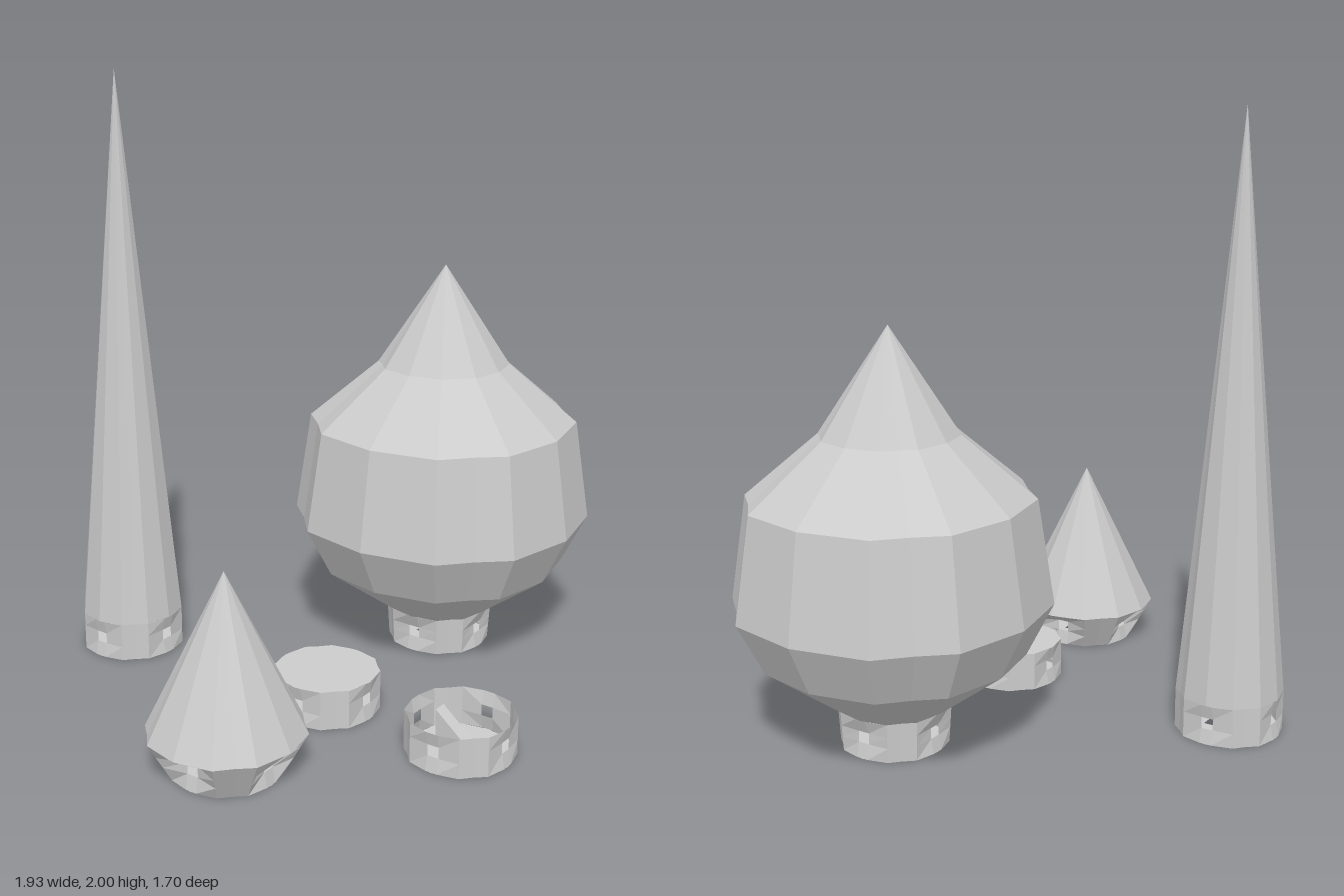
import * as THREE from 'three';

const BASE_R = 0.17, BASE_H = 0.13;
const material = new THREE.MeshStandardMaterial({ color: 0xcccccc, flatShading: true, side: THREE.DoubleSide });

// Facet corners of one quarter turn: [degrees, radius factor]
const QUARTER = [[0, 1], [30, 1.03], [45, 0.98], [60, 1.03]];

function ringPoints(r, y) {
  const pts = [];
  for (let q = 0; q < 4; q++) {
    for (const [deg, f] of QUARTER) {
      const a = THREE.MathUtils.degToRad(deg + q * 90);
      pts.push(new THREE.Vector3(Math.sin(a) * r * f, y, Math.cos(a) * r * f));
    }
  }
  return pts;
}

// Joins stacked rings of equal length with quads; skip(level, column) leaves holes
function loft(rings, skip = () => false) {
  const pos = [];
  const tri = (...p) => p.forEach(v => pos.push(v.x, v.y, v.z));
  for (let i = 0; i < rings.length - 1; i++) {
    const lo = rings[i], hi = rings[i + 1], n = lo.length;
    for (let j = 0; j < n; j++) {
      if (skip(i, j)) continue;
      const k = (j + 1) % n;
      tri(lo[j], lo[k], hi[k]);
      tri(lo[j], hi[k], hi[j]);
    }
  }
  const g = new THREE.BufferGeometry();
  g.setAttribute('position', new THREE.Float32BufferAttribute(pos, 3));
  g.computeVertexNormals();
  return g;
}

function add(group, name, geometry) {
  const mesh = new THREE.Mesh(geometry, material);
  mesh.name = name;
  group.add(mesh);
  return mesh;
}

// Base wall with four square windows, each in a slightly dented face
function baseWall(topR) {
  const half = 0.02, dent = 0.158;
  const levels = [0, 0.048, 0.085, BASE_H];
  const rings = levels.map((y, i) => {
    const r = THREE.MathUtils.lerp(BASE_R, topR, y / BASE_H);
    const windowR = i === 0 || i === 3 ? r * 0.99 : dent;
    const outline = ringPoints(r, y);
    const pts = [];
    for (let q = 0; q < 4; q++) {
      const turn = q * Math.PI / 2, up = new THREE.Vector3(0, 1, 0);
      for (const x of [-half, half]) {
        pts.push(new THREE.Vector3(x, y, windowR).applyAxisAngle(up, turn));
      }
      pts.push(...outline.slice(q * 4 + 1, q * 4 + 4));
    }
    return pts;
  });
  return loft(rings, (level, column) => level === 1 && column % 5 === 0);
}

// Flat plate in the outline of the base, optionally with a slot
function plate(y, slotted) {
  const shape = new THREE.Shape(ringPoints(BASE_R, 0).map(p => new THREE.Vector2(p.x, p.z)));
  if (slotted) {
    const w = 0.0225, l = 0.077;
    shape.holes.push(new THREE.Path([[-w, -l], [-w, l], [w, l], [w, -l]].map(p => new THREE.Vector2(...p))));
  }
  return new THREE.ShapeGeometry(shape).rotateX(Math.PI / 2).translate(0, y, 0);
}

// Wedge-shaped pocket over the slot: sloping roof, upright end and two sides
function slotRamp() {
  const w = 0.0225, l = 0.077, h = 0.125;
  const section = new THREE.Shape([[-l, 0], [l, 0], [l, h]].map(p => new THREE.Vector2(...p)));
  return new THREE.ExtrudeGeometry(section, { depth: 2 * w, bevelEnabled: false })
    .translate(0, 0, -w).rotateY(Math.PI / 2);
}

// One piece: windowed base plus a body following [radius, height] pairs
function piece(name, x, z, profile, closed = false) {
  const g = new THREE.Group();
  g.name = name;
  g.position.set(x, 0, z);
  add(g, 'baseWall', baseWall(profile.length ? profile[0][0] : BASE_R));
  add(g, 'slottedFloor', plate(0, true));
  if (profile.length) add(g, 'body', loft(profile.map(([r, y]) => ringPoints(r, y))));
  if (closed) add(g, 'lid', plate(BASE_H, false));
  return g;
}

export function createModel() {
  const model = new THREE.Group();
  model.name = 'towerRoofs';

  model.add(
    piece('onionDome', 0.465, 0.17, [
      [0.178, BASE_H], [0.41, 0.3], [0.495, 0.47], [0.445, 0.81], [0.217, 1.01], [0.0005, 1.35],
    ]),
    piece('shortCone', -0.725, 0.17, [[0.242, BASE_H], [0.0005, 0.64]]),
    piece('tallSpire', -0.216, -0.68, [[BASE_R, BASE_H], [0.0005, 2]]),
    piece('flatCap', -0.216, 0.17, [], true),
  );

  // Open ring with the pocket showing inside
  const ring = piece('openRing', -0.216, 0.68, []);
  add(ring, 'slotRamp', slotRamp());
  model.add(ring);

  return model;
}
